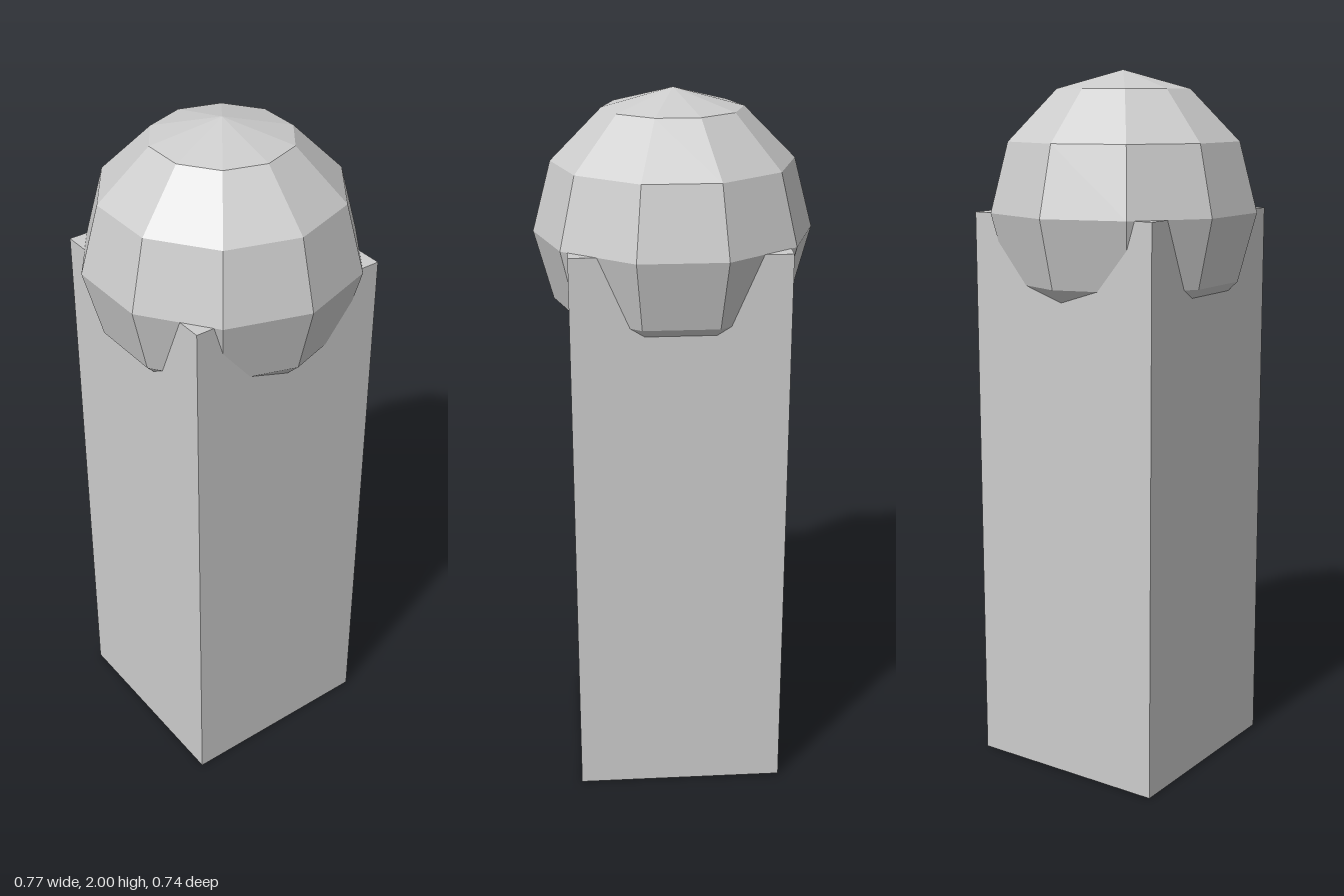
import * as THREE from 'three';

export function createModel() {
  const group = new THREE.Group();
  const grey = new THREE.MeshStandardMaterial({ color: 0xcccccc, flatShading: true });
  grey.name = 'light grey';

  const radius = 0.387;
  const centreY = 2 - radius;

  // square post, its top level with the middle of the ball
  const post = new THREE.Mesh(new THREE.BoxGeometry(0.59, centreY, 0.59), grey);
  post.name = 'post';
  post.position.set(-0.001, centreY / 2, -0.001);

  // faceted ball sunk halfway into the post
  const ball = new THREE.Mesh(new THREE.SphereGeometry(radius, 10, 6), grey);
  ball.name = 'ball';
  ball.position.y = centreY;

  group.add(post, ball);
  return group;
}
